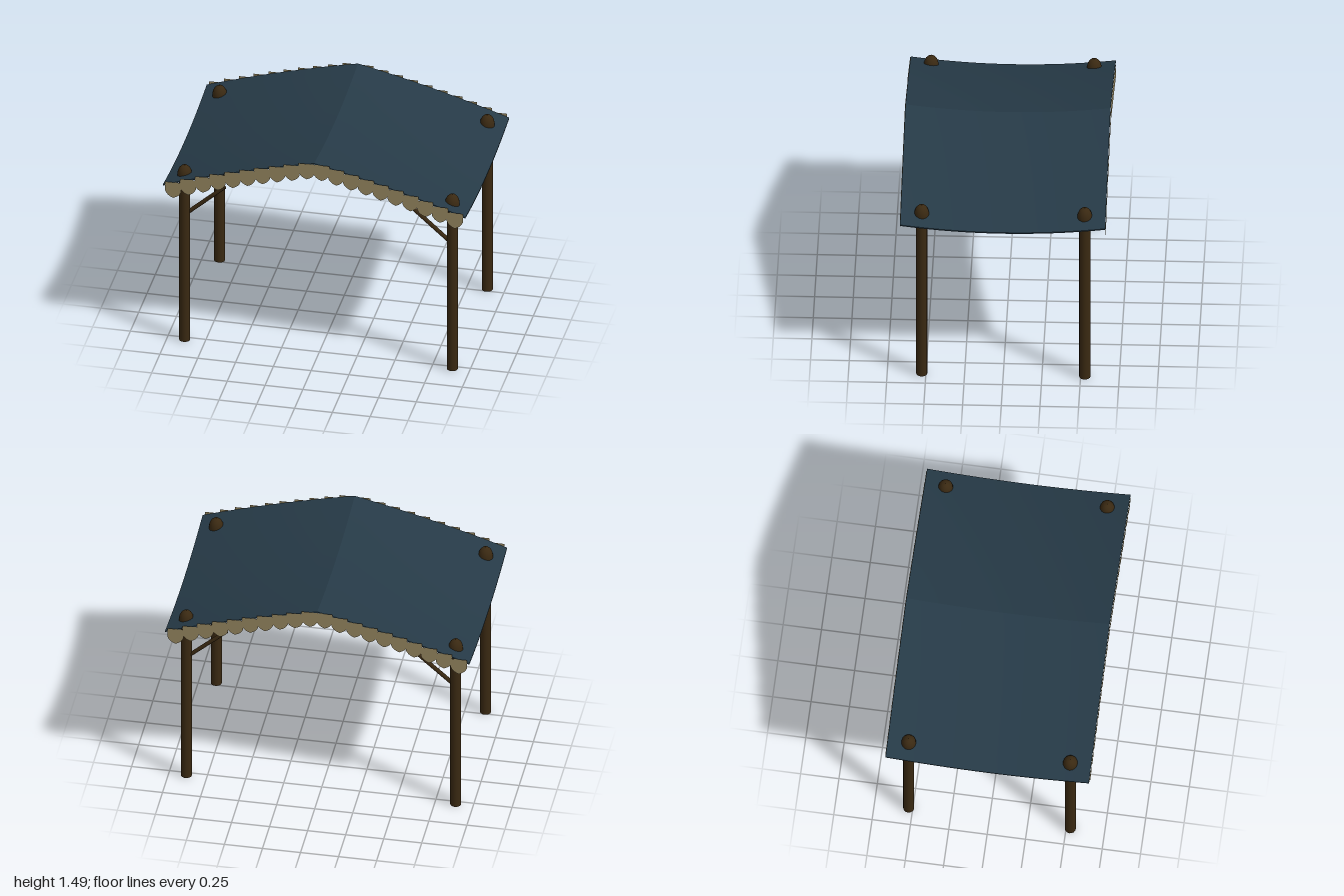
import * as THREE from 'three';
import { toCreasedNormals } from 'three/addons/utils/BufferGeometryUtils.js';

const HALF_DEPTH = 0.665;

// Height of the canopy's top surface: a ridge at x = 0, sagging towards z = 0
function roofY(x, z) {
  const a = Math.abs(x);
  return 1.45 + 0.045 * (z / HALF_DEPTH) ** 2 - 0.28 * (0.78 * a + 0.22 * a * a);
}

export function createModel() {
  const group = new THREE.Group();
  const cloth = new THREE.MeshStandardMaterial({ color: 0x263a47 });
  cloth.name = 'dark blue cloth';
  const wood = new THREE.MeshStandardMaterial({ color: 0x3a2912 });
  wood.name = 'dark brown wood';
  const trim = new THREE.MeshStandardMaterial({ color: 0x94855e, side: THREE.DoubleSide });
  trim.name = 'tan trim';

  const add = (name, geometry, material, x = 0, y = 0, z = 0) => {
    const mesh = new THREE.Mesh(geometry, material);
    mesh.name = name;
    mesh.position.set(x, y, z);
    group.add(mesh);
    return mesh;
  };

  // Canopy: a thin sheet bent over the ridge
  const sheet = new THREE.BoxGeometry(2, 0.008, HALF_DEPTH * 2 - 0.004, 20, 1, 16);
  const p = sheet.attributes.position;
  for (let i = 0; i < p.count; i++) {
    p.setY(i, roofY(p.getX(i), p.getZ(i)) + p.getY(i) - 0.004);
  }
  add('canopy', toCreasedNormals(sheet, 0.3), cloth);

  // Scalloped valance along the front and back edges
  const w = 0.053;
  const scallop = new THREE.Shape();
  scallop.moveTo(-w, 0);
  scallop.lineTo(-w, -0.065);
  scallop.quadraticCurveTo(-w * 0.8, -0.1, 0, -0.115);
  scallop.quadraticCurveTo(w * 0.8, -0.1, w, -0.065);
  scallop.lineTo(w, 0);
  const scallopGeometry = new THREE.ShapeGeometry(scallop, 4);
  for (const side of [1, -1]) {
    for (let i = 0; i < 20; i++) {
      const x = (i - 9.5) * 0.098;
      const flap = add('scallop', scallopGeometry, trim, x, roofY(x, HALF_DEPTH) + 0.002, side * HALF_DEPTH);
      if (side < 0) flap.rotation.y = Math.PI;
    }
  }

  // Posts with a flared collar and domed cap, and a slanted brace on each
  const postGeometry = new THREE.CylinderGeometry(0.036, 0.036, 1.2, 16);
  const capGeometry = new THREE.LatheGeometry([
    [0.034, 1.165], [0.042, 1.18], [0.048, 1.205], [0.048, 1.235],
    [0.044, 1.258], [0.035, 1.278], [0.02, 1.293], [0, 1.298],
  ].map(([r, y]) => new THREE.Vector2(r, y)), 16);
  for (const sx of [1, -1]) {
    for (const sz of [1, -1]) {
      const x = sx * 0.885, z = sz * 0.527;
      add('post', postGeometry, wood, x, 0.6, z);
      add('postCap', capGeometry, wood, x, 0, z);

      const from = new THREE.Vector3(sx * 0.875, 0.94, z);
      const to = new THREE.Vector3(sx * 0.62, 1.167, z);
      const dir = to.clone().sub(from);
      const brace = add('brace', new THREE.CylinderGeometry(0.014, 0.014, dir.length(), 8), wood);
      brace.position.copy(from).add(to).multiplyScalar(0.5);
      brace.quaternion.setFromUnitVectors(new THREE.Vector3(0, 1, 0), dir.normalize());
    }
  }
  return group;
}
